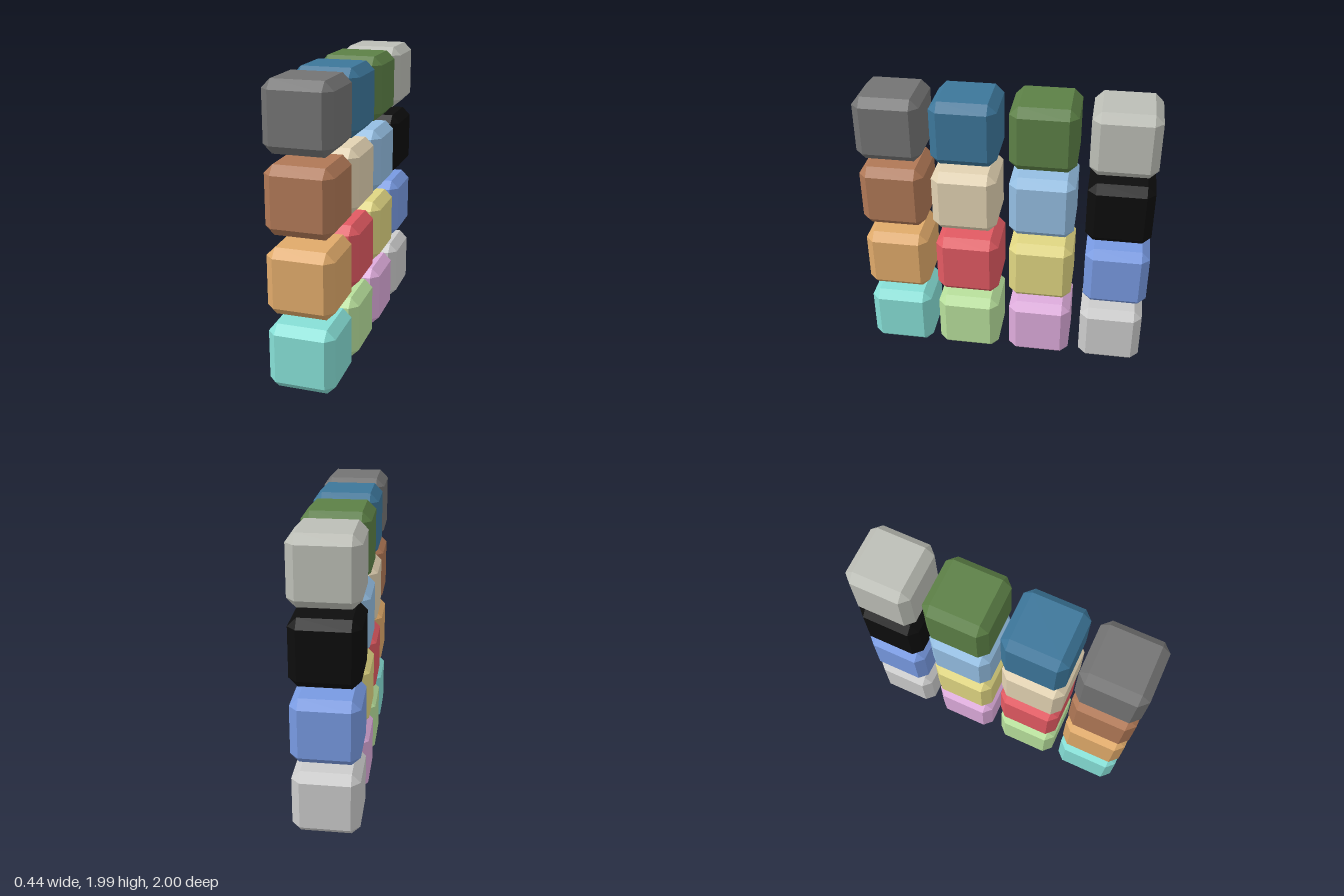
import * as THREE from 'three';
import { ConvexGeometry } from 'three/addons/geometries/ConvexGeometry.js';

const HALF = 0.222; // half width of a block
const FLAT = 0.165; // half width of its flat faces, inside the bevels

// Cube with bevelled edges and triangular corners
function bevelledCube() {
  const points = [];
  for (const x of [-1, 1]) for (const y of [-1, 1]) for (const z of [-1, 1]) {
    points.push(
      new THREE.Vector3(x * HALF, y * FLAT, z * FLAT),
      new THREE.Vector3(x * FLAT, y * HALF, z * FLAT),
      new THREE.Vector3(x * FLAT, y * FLAT, z * HALF)
    );
  }
  return new ConvexGeometry(points);
}

// Rows from bottom to top; blocks run from front to back as [name, color, z, y]
const rows = [
  ['bottomRow', [
    ['tealBlock', 0x86dfd6, 0.778, 0.224],
    ['lightGreenBlock', 0xb8e09c, 0.275, 0.222],
    ['pinkBlock', 0xdeacdc, -0.247, 0.224],
    ['lightGreyBlock', 0xc8c8c8, -0.768, 0.224],
  ]],
  ['lowerMiddleRow', [
    ['orangeBlock', 0xe0aa6a, 0.778, 0.738],
    ['redBlock', 0xe25a62, 0.272, 0.738],
    ['yellowBlock', 0xe0d682, -0.247, 0.738],
    ['blueBlock', 0x789ae2, -0.778, 0.743],
  ]],
  ['upperMiddleRow', [
    ['brownBlock', 0xb07856, 0.778, 1.262],
    ['tanBlock', 0xe2d2b2, 0.283, 1.262],
    ['skyBlueBlock', 0x94bee2, -0.247, 1.262],
    ['blackBlock', 0x0d0d0d, -0.768, 1.262],
  ]],
  ['topRow', [
    ['darkGreyBlock', 0x737373, 0.778, 1.77],
    ['deepBlueBlock', 0x3c769a, 0.275, 1.77],
    ['greenBlock', 0x5c8046, -0.247, 1.77],
    ['stoneBlock', 0xbcbeb6, -0.768, 1.77],
  ]],
];

export function createModel() {
  const model = new THREE.Group();
  model.name = 'blockWall';
  const geometry = bevelledCube();

  for (const [rowName, blocks] of rows) {
    const row = new THREE.Group();
    row.name = rowName;
    for (const [name, color, z, y] of blocks) {
      const material = new THREE.MeshStandardMaterial({ color, flatShading: true });
      const block = new THREE.Mesh(geometry, material);
      block.name = name;
      block.position.set(0, y, z);
      row.add(block);
    }
    model.add(row);
  }
  return model;
}
